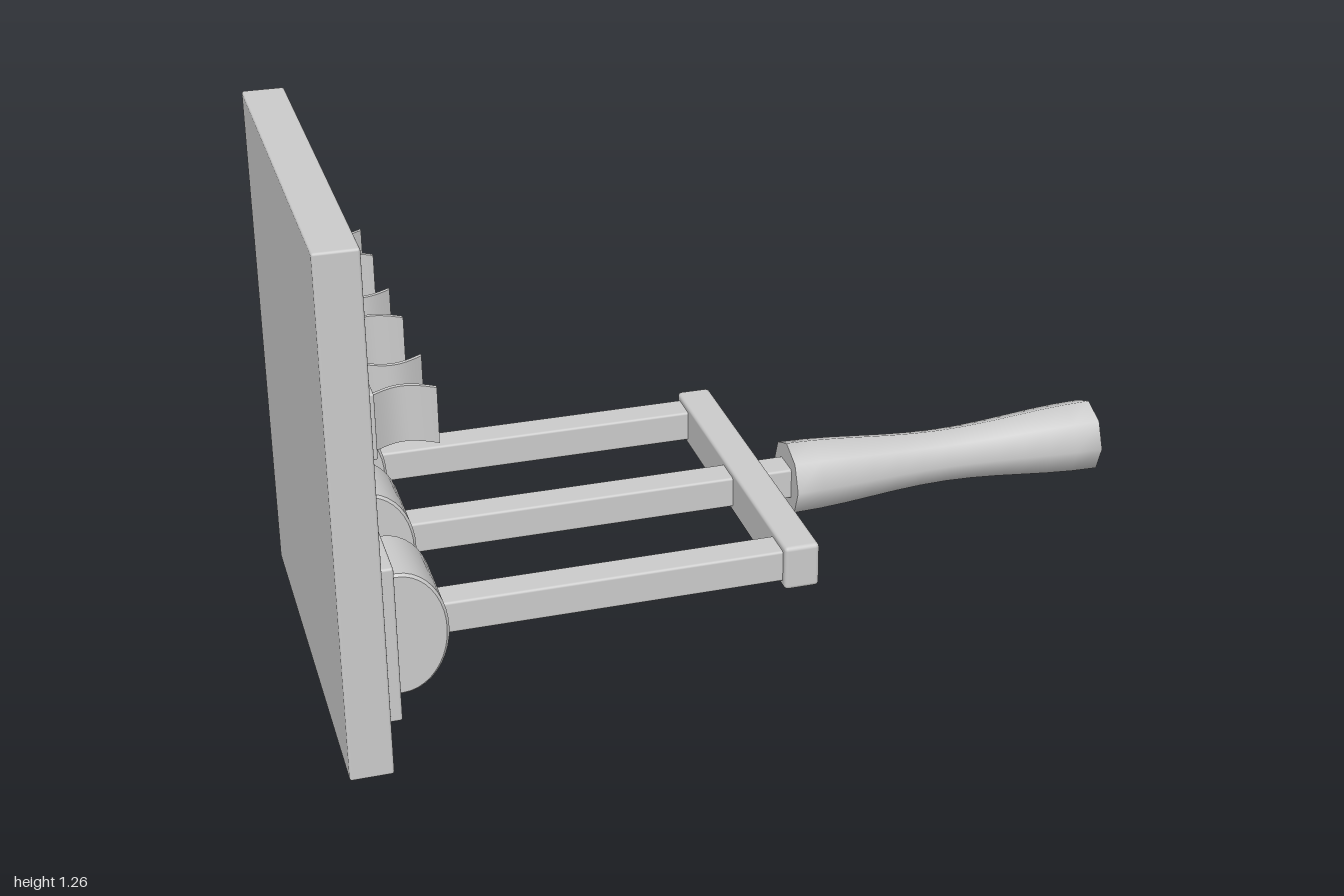
import * as THREE from 'three';
import { toCreasedNormals } from 'three/addons/utils/BufferGeometryUtils.js';
import { RoundedBoxGeometry } from 'three/addons/geometries/RoundedBoxGeometry.js';

const material = new THREE.MeshStandardMaterial({ color: 0xcccccc });
const BLADE_Y = 0.31;
const POLES = [-0.38, 0, 0.38];

export function createModel() {
  const model = new THREE.Group();
  model.name = 'knifeSwitch';

  const add = (name, geometry, x = 0, y = 0, z = 0) => {
    const mesh = new THREE.Mesh(geometry, material);
    mesh.name = name;
    mesh.position.set(x, y, z);
    model.add(mesh);
    return mesh;
  };

  // softly bevelled box given by its limits in x and y, and its middle and width in z
  const box = (name, x0, x1, y0, y1, z, width, bevel = 0.006) =>
    add(name, new RoundedBoxGeometry(x1 - x0, y1 - y0, width, 2, bevel),
      (x0 + x1) / 2, (y0 + y1) / 2, z);

  // back panel
  box('panel', -1, -0.9, 0, 1.257, 0, 1.06);

  // half-round hinge housing, extruded across z
  const dome = new THREE.Shape();
  dome.moveTo(-0.89, -0.146);
  dome.lineTo(-0.86, -0.146);
  dome.absellipse(-0.86, 0, 0.104, 0.146, -Math.PI / 2, Math.PI / 2, false);
  dome.lineTo(-0.89, 0.146);
  const hingeGeometry = toCreasedNormals(new THREE.ExtrudeGeometry(dome, {
    depth: 0.176, curveSegments: 10, bevelSize: 0.006, bevelThickness: 0.006, bevelSegments: 1,
  }).translate(0, 0, -0.088), 0.5);

  // spring contact strip: bows inward and flares at the tip
  const clipShape = side => {
    const steps = 12, outer = [], inner = [];
    for (let i = 0; i <= steps; i++) {
      const t = i / steps;
      const x = -0.89 + 0.14 * t;
      const offset = 0.089 - 0.03 * Math.sin(Math.PI * t);
      outer.push(new THREE.Vector2(x, side * offset));
      inner.push(new THREE.Vector2(x, side * (offset - 0.01)));
    }
    return new THREE.Shape([...outer, ...inner.reverse()]);
  };
  const clipGeometries = [-1, 1].map(side => toCreasedNormals(
    new THREE.ExtrudeGeometry(clipShape(side), { depth: 0.13, bevelEnabled: false })
      .rotateX(-Math.PI / 2), 0.5));

  // three poles: hinge, blade and upper contact
  for (const z of POLES) {
    box('hingePlate', -0.905, -0.872, 0.125, 0.51, z, 0.27);
    add('hinge', hingeGeometry, 0, 0.318, z);
    box('blade', -0.82, z === 0 ? 0.2 : 0.05, BLADE_Y - 0.039, BLADE_Y + 0.039, z, 0.08);
    box('contactPlate', -0.905, -0.885, 0.757, 0.91, z, 0.206, 0.004);
    clipGeometries.forEach(g => add('contactClip', g, 0, 0.77, z));
  }

  // bar joining the blades
  box('crossbar', 0.04, 0.124, BLADE_Y - 0.055, BLADE_Y + 0.055, 0, 0.874, 0.01);

  // eight-sided handle with a narrow waist
  const profile = [new THREE.Vector2(0, 0.19)];
  for (let i = 0; i <= 12; i++) {
    const t = i / 12;
    const radius = 0.081 + 0.012 * Math.cos(2 * Math.PI * t);
    profile.push(new THREE.Vector2(radius, 0.19 + 0.81 * t));
  }
  profile.push(new THREE.Vector2(0, 1));
  const handle = new THREE.LatheGeometry(profile, 8).rotateZ(-Math.PI / 2);
  add('handle', toCreasedNormals(handle, 0.9), 0, BLADE_Y, 0);

  return model;
}
